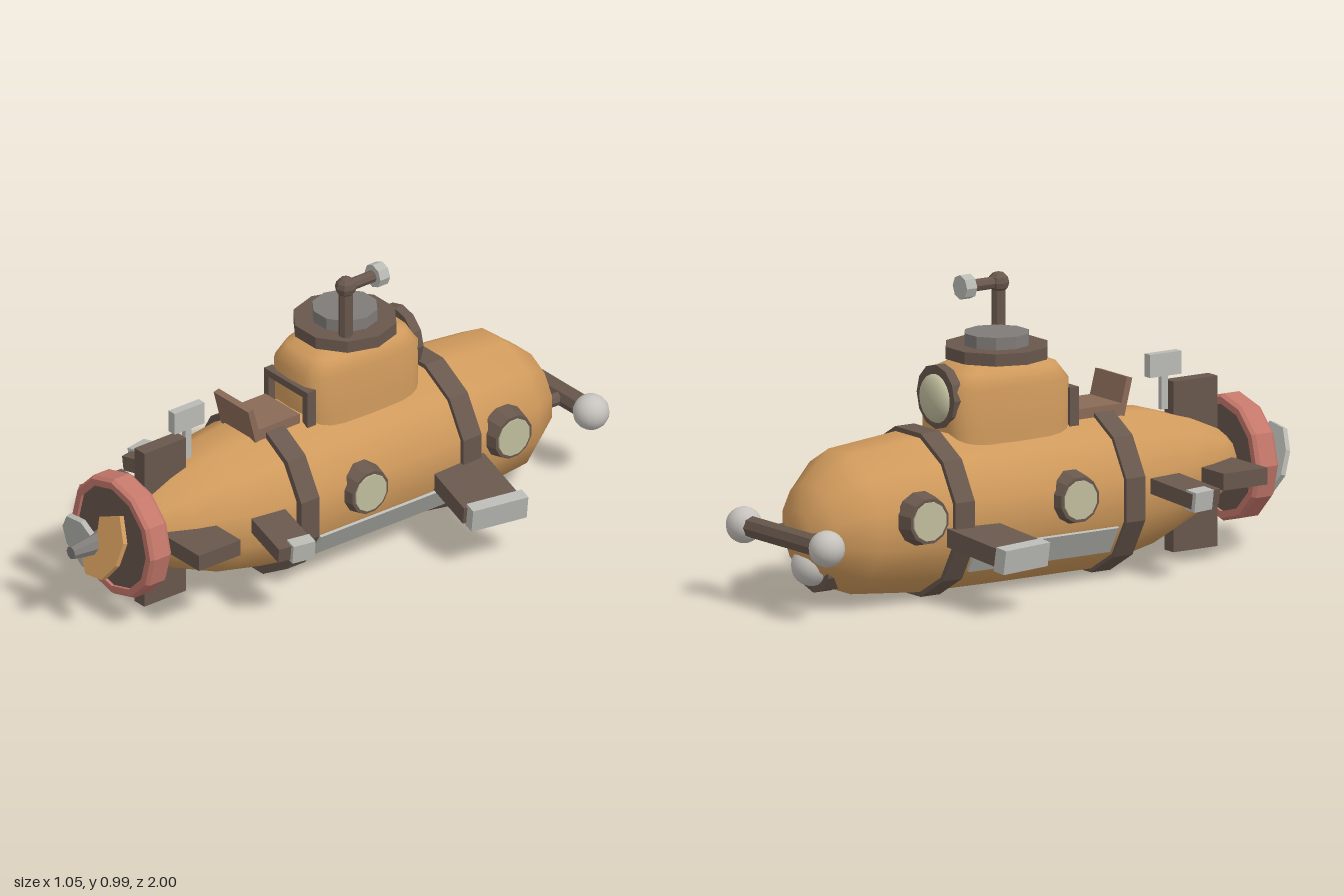
import * as THREE from 'three';
import { mergeVertices } from 'three/addons/utils/BufferGeometryUtils.js';

const mat = (name, color, extra = {}) => {
  const m = new THREE.MeshStandardMaterial({ color, ...extra });
  m.name = name;
  return m;
};

export function createModel() {
  const model = new THREE.Group();
  model.name = 'submarine';
  const flat = { flatShading: true };
  const orange = mat('orange hull', 0xd09a5c);
  const brown = mat('dark brown', 0x68574c, flat);
  const tan = mat('seat brown', 0x8a6a58, flat);
  const red = mat('red ring', 0xc4776a, flat);
  const silver = mat('light grey', 0xb9b9b4, flat);
  const pearl = mat('pearl', 0xc6c2bd);
  const steel = mat('steel grey', 0x7f7b78, flat);
  const glass = mat('cream glass', 0xbfbc9c);

  const add = (name, geo, material, x = 0, y = 0, z = 0, parent = model) => {
    const m = new THREE.Mesh(geo, material);
    m.name = name;
    m.position.set(x, y, z);
    parent.add(m);
    return m;
  };
  const box = (w, h, d) => new THREE.BoxGeometry(w, h, d);
  const cyl = (r1, r2, h, n, start = 0) => new THREE.CylinderGeometry(r1, r2, h, n, 1, false, start);
  const cylZ = (...a) => cyl(...a).rotateX(Math.PI / 2);
  const cylX = (...a) => cyl(...a).rotateZ(-Math.PI / 2);
  const lathe = (pts, n, start = 0) =>
    new THREE.LatheGeometry(pts.map(p => new THREE.Vector2(...p)), n, start);
  const smooth = geo => {
    geo.deleteAttribute('uv');
    geo.deleteAttribute('normal');
    geo = mergeVertices(geo, 1e-4);
    geo.computeVertexNormals();
    return geo;
  };
  const STEP = Math.PI / 12;

  // Twelve-sided hull whose axis rises towards the propeller
  const hull = lathe([[0, -0.9], [0.07, -0.895], [0.15, -0.85], [0.235, -0.73], [0.259, -0.47],
    [0.262, -0.2], [0.262, 0.2], [0.222, 0.45], [0.165, 0.61], [0.11, 0.72], [0.06, 0.78], [0, 0.78]],
  12, STEP).rotateX(Math.PI / 2);
  const p = hull.attributes.position;
  for (let i = 0; i < p.count; i++) {
    const z = p.getZ(i);
    const lift = z > 0.2 ? (z - 0.2) * 0.05 : z < -0.73 ? (z + 0.73) * 0.1 : 0;
    p.setY(i, p.getY(i) + 0.265 + lift);
  }
  add('hull', smooth(hull), orange);
  for (const z of [-0.428, 0.235])
    add('hullBand', cylZ(0.275, 0.275, 0.074, 12, STEP), brown, 0, 0.265, z);

  // Conning tower: lathe squared off into a rounded box
  const tower = lathe([[1, 0.4], [1, 0.52], [1, 0.655], [0.84, 0.705], [0.52, 0.735], [0, 0.738]], 24);
  const q = tower.attributes.position;
  const square = v => Math.sign(v) * Math.pow(Math.abs(v), 0.5);
  for (let i = 0; i < q.count; i++) {
    const x = q.getX(i), z = q.getZ(i), r = Math.hypot(x, z) || 1;
    q.setX(i, square(x / r) * r * 0.138);
    q.setZ(i, -0.125 + square(z / r) * r * 0.232);
    if (r === 1 && !x && !z) q.setXYZ(i, 0, q.getY(i), -0.125);
  }
  add('tower', smooth(tower), orange);
  add('hatchRim', cyl(0.17, 0.17, 0.04, 10, Math.PI / 10 * 5), brown, 0, 0.75, -0.12);
  add('hatchLid', cyl(0.107, 0.107, 0.04, 10, Math.PI / 2), steel, 0, 0.79, -0.12);

  // Tower window dome
  add('towerWindowRim', cylZ(0.105, 0.105, 0.035, 12), brown, 0, 0.625, -0.34);
  const dome = add('towerWindow', new THREE.SphereGeometry(0.08, 14, 10), glass, 0, 0.62, -0.355);
  dome.scale.z = 0.45;

  // Door frame and seat behind the tower
  for (const s of [-1, 1]) add('doorPost', box(0.024, 0.13, 0.035), brown, s * 0.098, 0.55, 0.105);
  add('doorLintel', box(0.22, 0.024, 0.035), brown, 0, 0.608, 0.105);
  add('seatBase', box(0.175, 0.04, 0.17), tan, 0, 0.52, 0.22);
  add('seatBack', box(0.175, 0.125, 0.022), tan, 0, 0.56, 0.32).rotation.x = 0.25;

  // Periscope
  add('periscopeTube', cyl(0.023, 0.023, 0.18, 8), brown, 0.097, 0.86, -0.045);
  add('periscopeElbow', new THREE.SphereGeometry(0.035, 8, 6), brown, 0.097, 0.945, -0.045);
  add('periscopeArm', cylZ(0.02, 0.02, 0.12, 8), brown, 0.097, 0.945, -0.1);
  add('periscopeLens', cylZ(0.04, 0.04, 0.04, 8), silver, 0.097, 0.945, -0.175);

  // Parts mirrored on both sides
  const fin = (s, name, pos, size, cap, capX, capZ, yaw, droop) => {
    const g = new THREE.Group();
    g.name = name;
    g.position.set(s * pos[0], pos[1], pos[2]);
    g.rotation.set(0, -s * yaw, -s * droop);
    add(name + 'Blade', box(...size), brown, 0, 0, 0, g);
    add(name + 'Cap', box(...cap), silver, s * capX, 0, capZ, g);
    model.add(g);
  };
  for (const s of [-1, 1]) {
    for (const z of [0.005, -0.58]) {
      const rim = cylX(s > 0 ? 0.075 : 0.09, s > 0 ? 0.09 : 0.075, 0.06, 12, STEP);
      add('portholeRim', rim, brown, s * 0.255, 0.295, z);
      add('portholeGlass', cylX(0.064, 0.064, 0.008, 12, STEP), glass, s * 0.286, 0.295, z);
    }
    fin(s, 'divingFin', [0.305, 0.213, -0.375], [0.32, 0.06, 0.2], [0.045, 0.08, 0.2], 0.175, -0.012, 0.18, 0.15);
    fin(s, 'sternFin', [0.28, 0.287, 0.385], [0.26, 0.05, 0.125], [0.045, 0.065, 0.08], 0.122, -0.022, 0.18, 0.13);
    add('tailPlane', box(0.25, 0.055, 0.17), brown, s * 0.178, 0.29, 0.635);
    // Strip lying on the lower flank
    add('flankStrip', box(0.02, 0.1, 0.55), silver, s * 0.218, 0.139, -0.095).rotation.z = -s * Math.PI / 6;
    add('bumperBall', new THREE.SphereGeometry(0.059, 16, 12), pearl, s * 0.23, 0.24, -0.941);
    add('bumperStrut', cylZ(0.022, 0.022, 0.14, 8), brown, s * 0.095, 0.24, -0.88);
  }

  // Nose bumper and headlight
  add('bumperBar', cylX(0.036, 0.036, 0.42, 8), brown, 0, 0.24, -0.941);
  add('headlightCollar', cylZ(0.085, 0.085, 0.065, 10), brown, 0, 0.13, -0.8);
  add('headlight', new THREE.SphereGeometry(0.066, 16, 12), pearl, 0, 0.135, -0.84);

  // Rudders and tail sign
  add('rudder', box(0.05, 0.555, 0.17), brown, 0, 0.292, 0.635);
  add('signPole', box(0.018, 0.12, 0.025), silver, 0, 0.54, 0.527);
  add('signPlate', box(0.03, 0.075, 0.122), silver, 0, 0.627, 0.527);

  // Propeller shroud
  const ring = lathe([[0.175, 0.835], [0.175, 0.75], [0.198, 0.75], [0.207, 0.762],
    [0.207, 0.823], [0.198, 0.835], [0.175, 0.835]], 12).rotateX(Math.PI / 2);
  add('shroudRing', ring, red, 0, 0.295, 0);
  add('shroudDisc', cylZ(0.178, 0.178, 0.065, 12), brown, 0, 0.295, 0.792);

  // Propeller hub and two tilted half-disc blades
  add('propellerHub', cylZ(0.022, 0.046, 0.175, 8), steel, 0, 0.295, 0.9125);
  const shape = new THREE.Shape();
  [[0, 0.095], [0.088, 0.132], [0.137, 0.055], [0.128, -0.025], [0.082, -0.09], [0.005, -0.1],
    [-0.026, -0.06], [0.015, -0.03], [0.03, 0.005], [0.01, 0.04]].forEach(([x, y], i) =>
    i ? shape.lineTo(x, y) : shape.moveTo(x, y));
  const blade = new THREE.ExtrudeGeometry(shape, { depth: 0.018, bevelEnabled: false });
  blade.translate(0, 0, -0.009).rotateX(-0.32);
  add('propellerBlade', blade, orange, 0, 0.295, 0.905);
  add('propellerBlade', blade.clone().rotateZ(Math.PI), silver, 0, 0.295, 0.915);

  return model;
}
